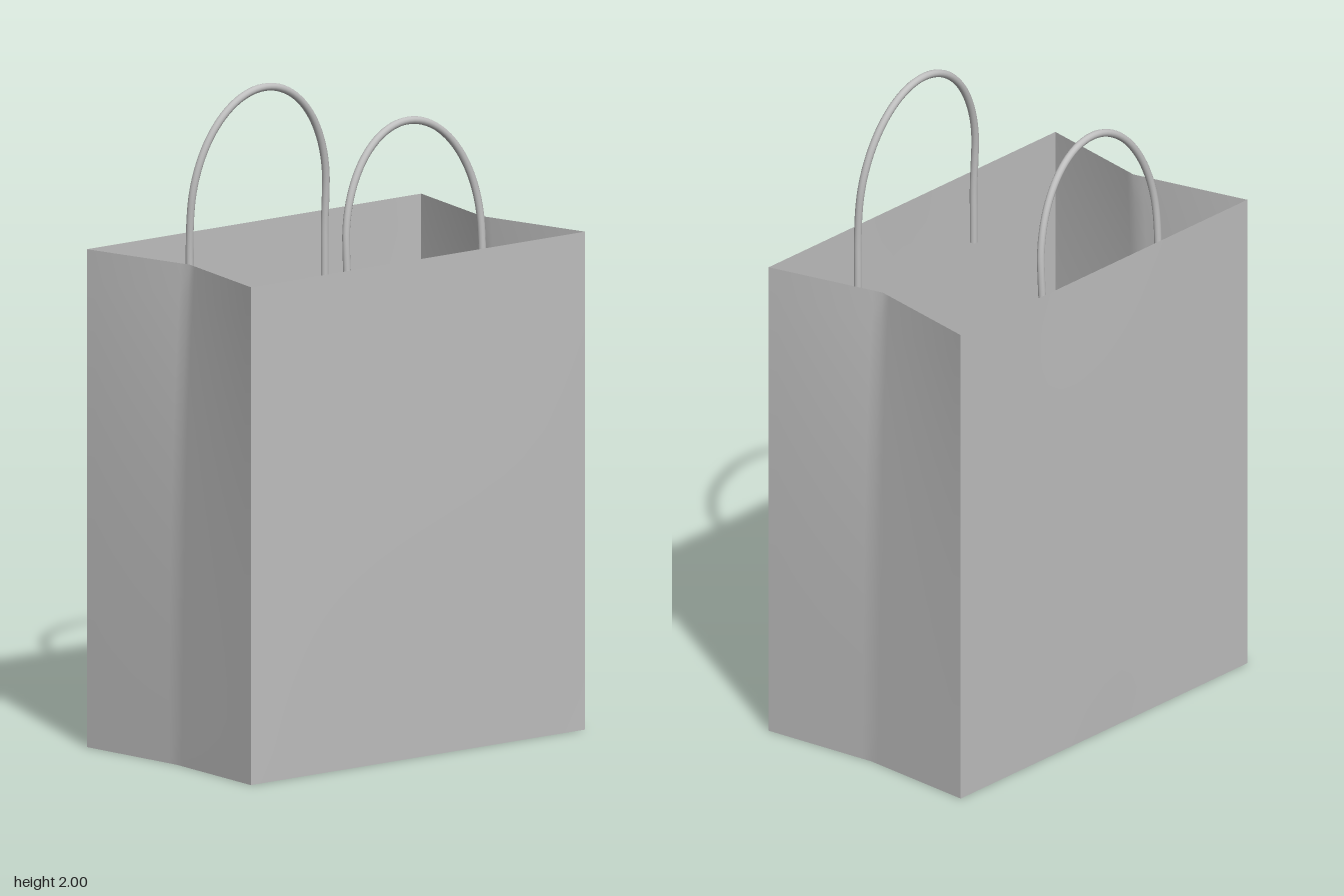
import * as THREE from 'three';

const W = 0.673, D = 0.39, H = 1.56; // half width, half depth, height of the bag

// Grid surface from a rule f(u, v) -> [x, y, z]
function sheet(nu, nv, f) {
  const g = new THREE.PlaneGeometry(1, 1, nu, nv);
  const p = g.attributes.position;
  for (let i = 0; i < p.count; i++) {
    p.setXYZ(i, ...f(p.getX(i) + 0.5, p.getY(i) + 0.5));
  }
  g.computeVertexNormals();
  return g;
}

// How far the side fold is pushed in at a given height
const foldDepth = (y) => 0.032 + 0.053 * Math.pow(y / H, 2.5);

export function createModel() {
  const bag = new THREE.Group();
  bag.name = 'shoppingBag';
  const paper = new THREE.MeshStandardMaterial({ color: 0xc0c0c0, side: THREE.DoubleSide });
  paper.name = 'grey paper';

  const add = (name, geometry) => {
    const mesh = new THREE.Mesh(geometry, paper);
    mesh.name = name;
    bag.add(mesh);
    return mesh;
  };

  // Front and back panels, bulging very slightly
  const panel = (s) => sheet(16, 16, (u, v) => [
    s * (u * 2 - 1) * W, v * H,
    s * (D + 0.004 * Math.sin(Math.PI * u) * Math.sin(Math.PI * v)),
  ]);
  add('frontPanel', panel(1));
  add('backPanel', panel(-1));

  // Side panels with a soft inward fold down the middle
  const side = (s) => sheet(24, 16, (u, v) => {
    const z = -s * (u * 2 - 1) * D, y = v * H;
    return [s * (W - foldDepth(y) * (1 - Math.abs(z) / D)), y, z];
  });
  add('leftSide', side(1));
  add('rightSide', side(-1));

  // Bottom following the folded sides
  const x0 = W - foldDepth(0);
  const outline = [[-W, -D], [W, -D], [x0, 0], [W, D], [-W, D], [-x0, 0]];
  const base = new THREE.ShapeGeometry(new THREE.Shape(outline.map((p) => new THREE.Vector2(...p))));
  add('bottom', base.rotateX(Math.PI / 2));

  // Crumpled liner lying on the bottom
  add('bottomLiner', sheet(60, 36, (u, v) => {
    const x = (u * 2 - 1) * 0.6, z = (1 - v * 2) * 0.355;
    const bumps = Math.sin(9 * x + 3 * Math.sin(6 * z)) * Math.cos(11 * z + 2 * Math.sin(5 * x))
      + 0.5 * Math.sin(17 * x - 9 * z + 1);
    return [x, 0.045 + 0.018 * bumps, z];
  }));

  // Arched cord handles, with ends running down inside the panels
  for (const s of [1, -1]) {
    const points = [];
    const point = (x, y) => points.push(
      new THREE.Vector3(x, y, s * (0.375 - 0.034 * Math.max(0, (y - H) / 0.43))));
    for (const y of [1.33, 1.42, 1.52]) point(-0.272, y);
    for (let i = 0; i <= 20; i++) {
      const a = Math.PI * (1 - i / 20);
      point(0.272 * Math.cos(a), 1.62 + 0.368 * Math.sin(a));
    }
    for (const y of [1.52, 1.42, 1.33]) point(0.272, y);
    const name = s > 0 ? 'frontHandle' : 'backHandle';
    const curve = new THREE.CatmullRomCurve3(points);
    add(name, new THREE.TubeGeometry(curve, 80, 0.012, 12));
    // Closed cord ends
    for (const end of [points[0], points[points.length - 1]]) {
      const cap = new THREE.CircleGeometry(0.012, 12).rotateX(Math.PI / 2);
      add(name + 'End', cap.translate(end.x, end.y, end.z));
    }
  }
  return bag;
}
